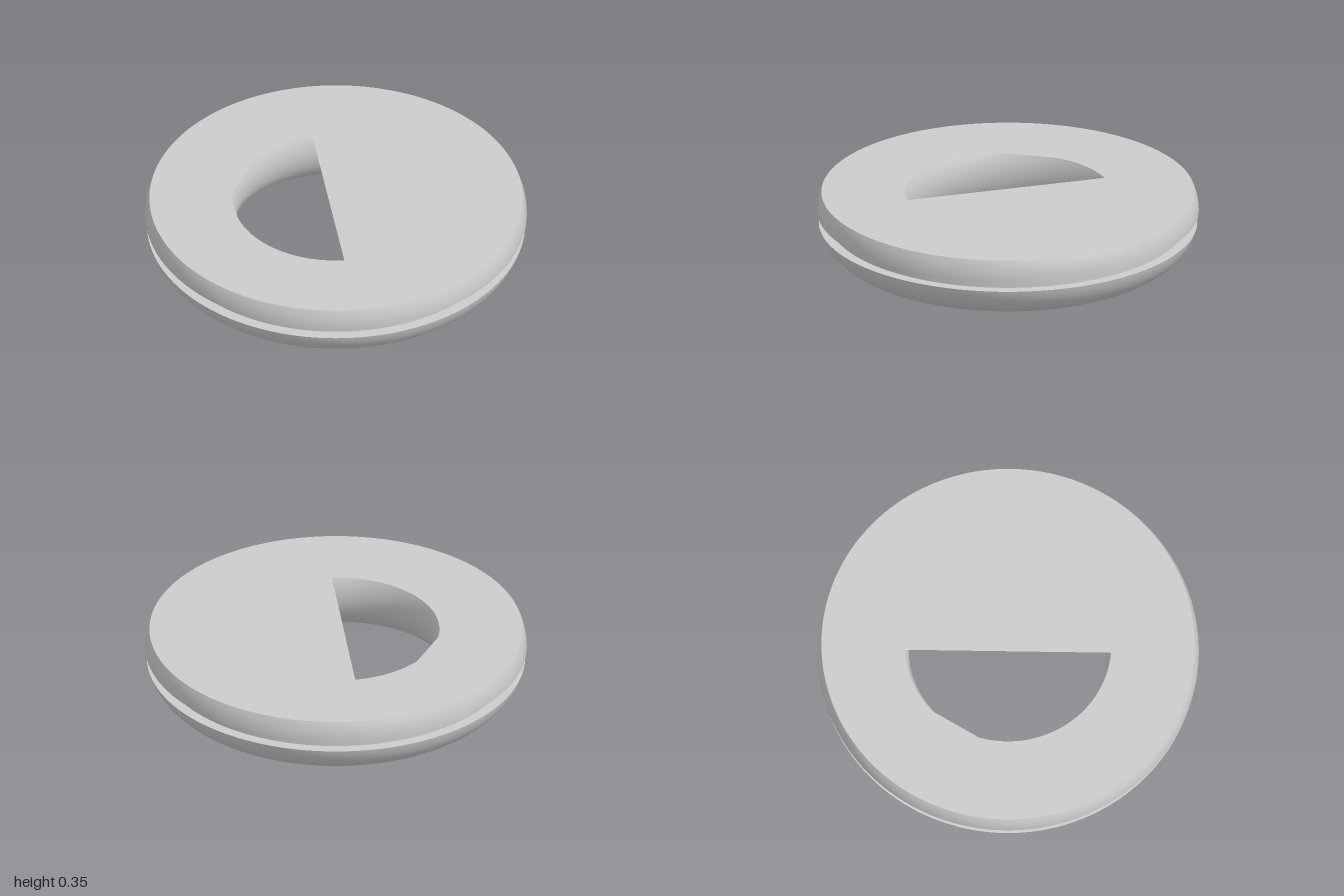
import * as THREE from 'three';

const SEGMENTS = 128;
const CENTRE = 0.76, RX = 0.24, RY = 0.25; // ring cross-section
const TOP = 0.355;

// point on the ring's rounded cross-section
const section = (a) => new THREE.Vector2(CENTRE + RX * Math.cos(a), RY + RY * Math.sin(a));

function arc(from, to, steps) {
  return Array.from({ length: steps + 1 }, (_, i) => section(from + ((to - from) * i) / steps));
}

export function createModel() {
  const group = new THREE.Group();
  const material = new THREE.MeshStandardMaterial({ color: 0xcccccc, side: THREE.DoubleSide });
  const add = (name, geometry) => {
    const mesh = new THREE.Mesh(geometry, material);
    mesh.name = name;
    group.add(mesh);
  };
  const lathe = (name, points) => add(name, new THREE.LatheGeometry(points, SEGMENTS));

  const topAngle = Math.asin((TOP - RY) / RY);
  const ledgeAngle = Math.asin((0.185 - RY) / RY);
  const ledge = section(ledgeAngle), rim = section(0);
  const grooveRadius = 0.935;

  // hole wall, rounded underside and lower outer side
  lathe('roundedRing', arc(Math.PI - topAngle, Math.PI * 2 + ledgeAngle, 48));

  // groove around the outside
  lathe('grooveFloor', [ledge, new THREE.Vector2(grooveRadius, ledge.y)]);
  lathe('grooveWall', [new THREE.Vector2(grooveRadius, ledge.y), new THREE.Vector2(grooveRadius, rim.y)]);
  lathe('grooveCeiling', [new THREE.Vector2(grooveRadius, rim.y), rim]);

  // upper outer band
  lathe('upperRim', arc(0, topAngle, 8));

  // flat cap with a half-moon opening, one stretch of its arc cut straight
  const polar = (r, degrees) => {
    const a = THREE.MathUtils.degToRad(degrees);
    return new THREE.Vector2(r * Math.cos(a), r * Math.sin(a));
  };
  const outer = section(topAngle).x;
  const inner = section(Math.PI - topAngle).x;
  const outline = Array.from({ length: SEGMENTS }, (_, i) => polar(outer, (i * 360) / SEGMENTS));
  const opening = [];
  for (let i = 0; i <= 14; i++) opening.push(polar(inner, 92.1 + (40.9 * i) / 14));
  for (let i = 0; i <= 36; i++) opening.push(polar(inner, 162.4 + (101.3 * i) / 36));
  const shape = new THREE.Shape(outline);
  shape.holes.push(new THREE.Path(opening));
  const cap = new THREE.ShapeGeometry(shape);
  cap.rotateX(-Math.PI / 2);
  cap.translate(0, TOP, 0);
  add('topCap', cap);

  return group;
}
